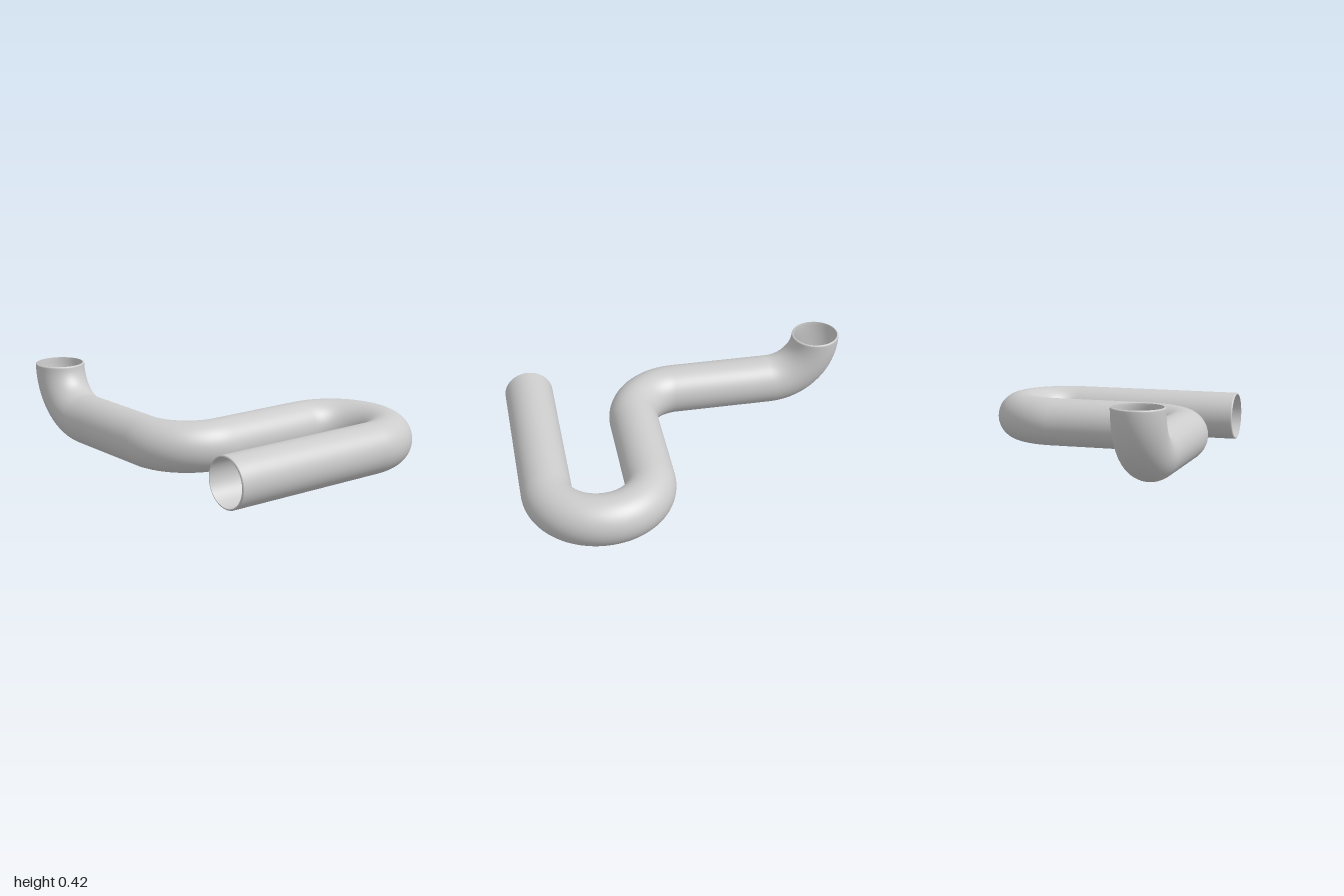
import * as THREE from 'three';

const R = 0.14;      // outer radius of the pipe
const INNER = 0.13;  // bore radius
const BEND = 0.285;  // centreline radius of every bend
const LIP = 0.008;   // rounded edge at the open ends
const SIDES = 56;

// Centreline stations, walked as straight runs and exact arcs.
function walkPath() {
  const pos = new THREE.Vector3(-0.695, 0.142, 0.855);
  let heading = 0, pitch = 0;
  const dir = (h, p) => new THREE.Vector3(Math.cos(p) * Math.cos(h), Math.sin(p), Math.cos(p) * Math.sin(h));
  const stations = [];
  const mark = () => stations.push({ p: pos.clone(), t: dir(heading, pitch), s: new THREE.Vector3(-Math.sin(heading), 0, Math.cos(heading)) });
  const straight = (length, steps) => {
    for (let i = 0; i < steps; i++) {
      pos.addScaledVector(dir(heading, pitch), length / steps);
      mark();
    }
  };
  const bend = (turn, climb, steps) => {
    const dh = turn / steps, dp = climb / steps;
    const chord = 2 * BEND * Math.sin(Math.abs(dh + dp) / 2);
    for (let i = 0; i < steps; i++) {
      pos.addScaledVector(dir(heading + dh / 2, pitch + dp / 2), chord);
      heading += dh;
      pitch += dp;
      mark();
    }
  };
  mark();
  straight(0.98, 8);
  bend(-Math.PI, 0, 48);        // U-bend
  straight(0.57, 6);
  bend(Math.PI / 2, 0, 24);     // flat elbow
  straight(0.575, 6);
  bend(0, Math.PI / 2, 24);     // upturned elbow
  return stations;
}

// Hollow pipe: outer wall, rounded lip, bore, and lip again as one closed sweep.
function pipeGeometry() {
  const path = walkPath();
  const first = path[0], last = path[path.length - 1];
  const shift = (st, d) => ({ ...st, p: st.p.clone().addScaledVector(st.t, d) });
  const rings = [];
  const add = (st, r) => rings.push({ st, r });
  const lipAngles = [0, 1, 2, 3, 4].map(i => i * Math.PI / 8);

  for (const a of lipAngles) add(shift(first, LIP * (1 - Math.sin(a))), R - LIP * (1 - Math.cos(a - Math.PI / 2)));
  path.slice(1, -1).forEach(st => add(st, R));
  for (const a of lipAngles) add(shift(last, -LIP * (1 - Math.sin(a))), R - LIP * (1 - Math.cos(a)));
  [...path].reverse().forEach(st => add(st, INNER));
  // start lip runs from the end face out to the full radius
  for (let i = 0; i < lipAngles.length; i++) {
    const a = lipAngles[i];
    rings[i] = { st: shift(first, LIP * (1 - Math.cos(a))), r: R - LIP * (1 - Math.sin(a)) };
  }

  const pos = [], index = [];
  for (const { st, r } of rings) {
    const v = st.t.clone().cross(st.s);
    for (let j = 0; j < SIDES; j++) {
      const a = j / SIDES * Math.PI * 2;
      const q = st.p.clone().addScaledVector(st.s, r * Math.cos(a)).addScaledVector(v, r * Math.sin(a));
      pos.push(q.x, q.y, q.z);
    }
  }
  for (let i = 0; i < rings.length; i++) {
    const n = (i + 1) % rings.length;
    for (let j = 0; j < SIDES; j++) {
      const k = (j + 1) % SIDES;
      const a = i * SIDES + j, b = n * SIDES + j, c = i * SIDES + k, d = n * SIDES + k;
      index.push(a, c, b, c, d, b);
    }
  }
  const geo = new THREE.BufferGeometry();
  geo.setAttribute('position', new THREE.Float32BufferAttribute(pos, 3));
  geo.setIndex(index);
  geo.computeVertexNormals();
  return geo;
}

export function createModel() {
  const group = new THREE.Group();
  group.name = 'bentPipe';
  const pipe = new THREE.Mesh(pipeGeometry(), new THREE.MeshStandardMaterial({ color: 0xcccccc }));
  pipe.name = 'pipe';
  group.add(pipe);
  return group;
}
